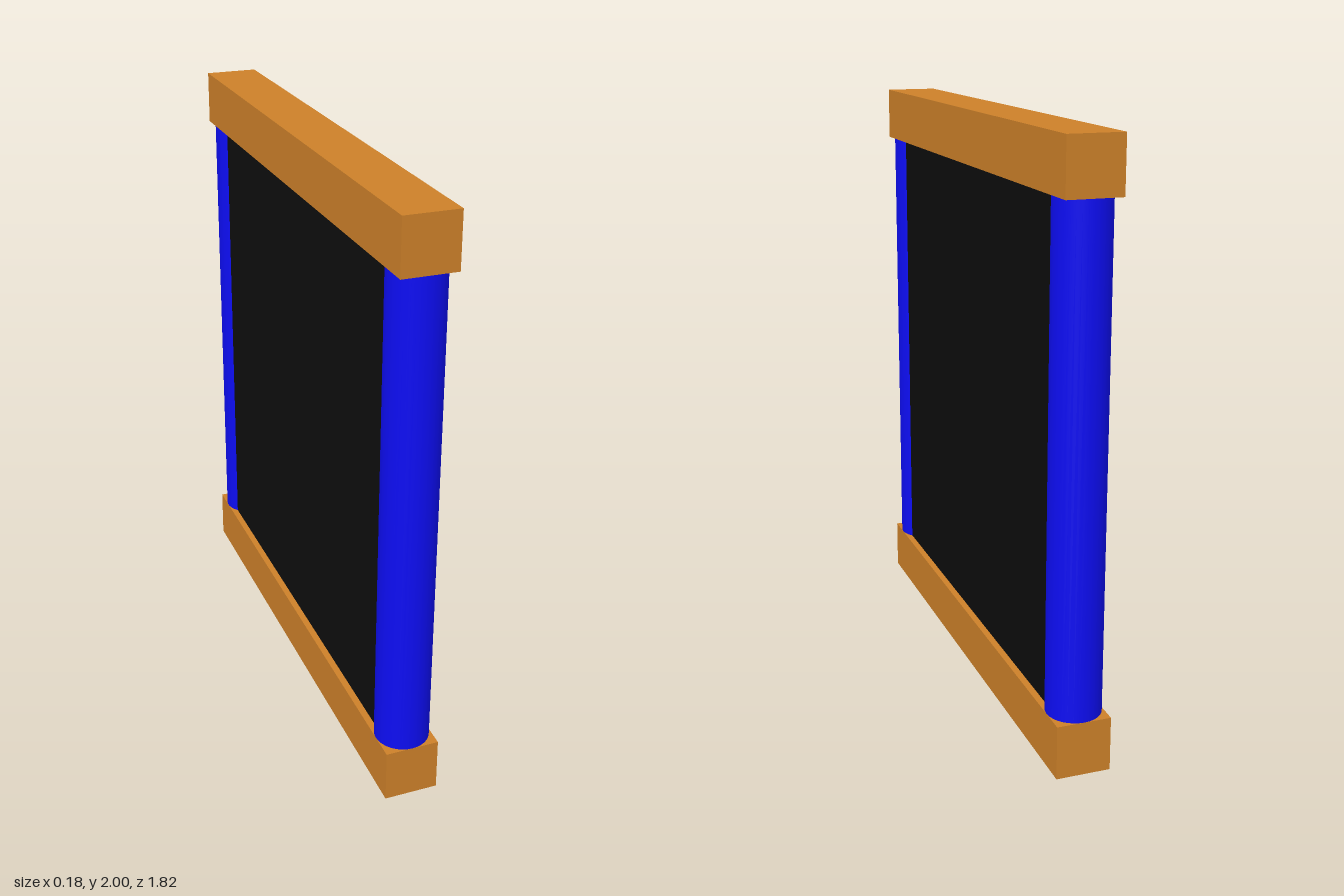
import * as THREE from 'three';

export function createModel() {
  const model = new THREE.Group();
  const wood = new THREE.MeshStandardMaterial({ color: 0xcc8029 });
  const blue = new THREE.MeshStandardMaterial({ color: 0x0d0df2 });
  const black = new THREE.MeshStandardMaterial({ color: 0x0d0d0d });

  const beam = 0.182;        // square section of the beams
  const length = 1.818;      // beam length along z
  const gap = 2 - 2 * beam;  // clear height between the beams

  const add = (name, geometry, material, y, z = 0) => {
    const mesh = new THREE.Mesh(geometry, material);
    mesh.name = name;
    mesh.position.set(0, y, z);
    model.add(mesh);
  };

  // Bottom and top beams
  const beamGeometry = new THREE.BoxGeometry(beam, beam, length);
  add('bottomBeam', beamGeometry, wood, beam / 2);
  add('topBeam', beamGeometry, wood, 2 - beam / 2);

  // Round posts, flush with the beam ends
  const postGeometry = new THREE.CylinderGeometry(beam / 2, beam / 2, gap, 32);
  const postZ = (length - beam) / 2;
  add('frontPost', postGeometry, blue, 1, postZ);
  add('backPost', postGeometry, blue, 1, -postZ);

  // Dark infill panel, its ends buried in the posts
  add('panel', new THREE.BoxGeometry(0.136, gap, 2 * postZ), black, 1);

  return model;
}
